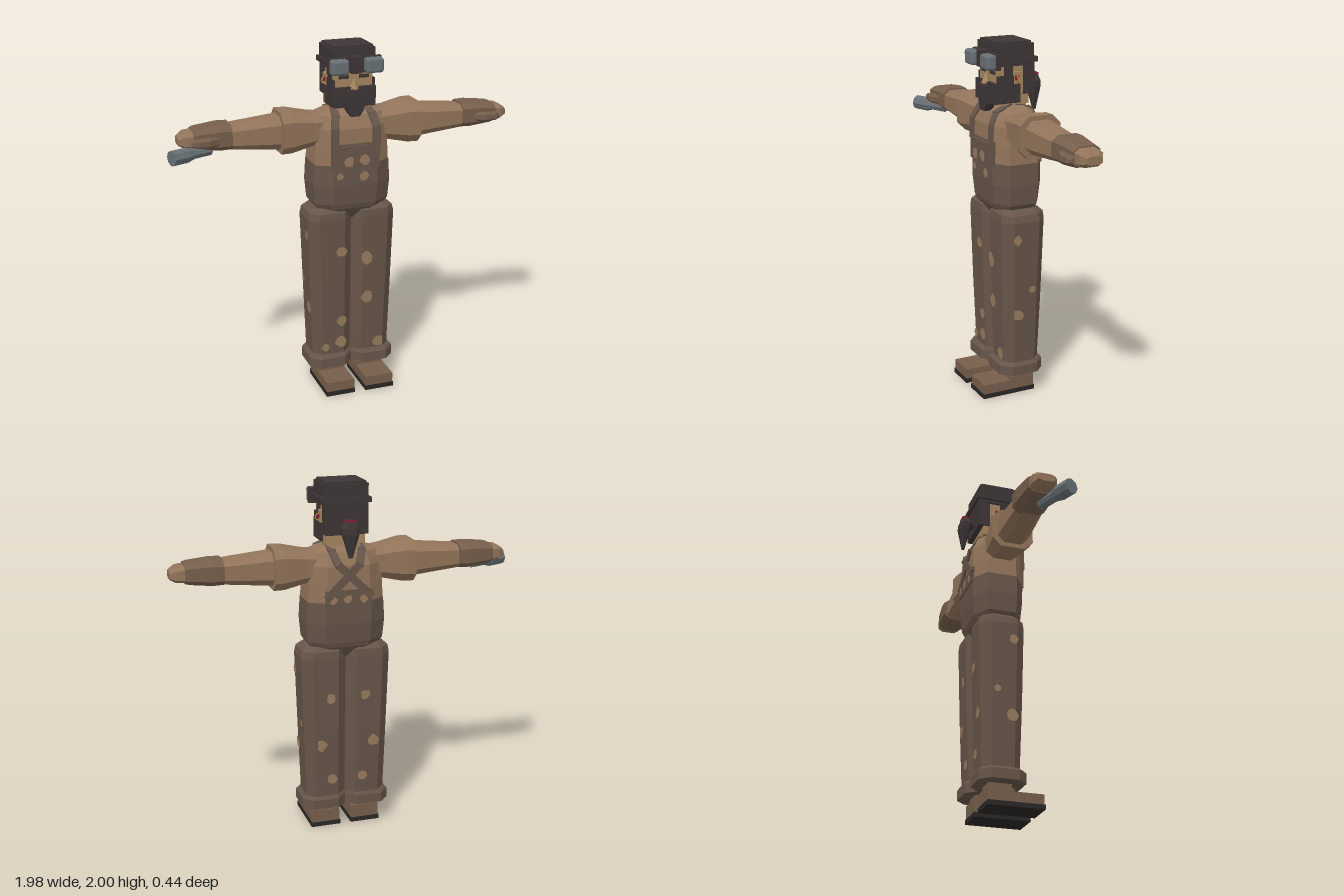
import * as THREE from 'three';
import { RoundedBoxGeometry } from 'three/addons/geometries/RoundedBoxGeometry.js';

const mat = (name, color) => Object.assign(new THREE.MeshStandardMaterial({ color }), { name });

export function createModel() {
  const shirt = mat('tan shirt', 0x92745a), denim = mat('brown overalls', 0x675549), glove = mat('glove brown', 0x765e4b);
  const skin = mat('skin', 0xa5855f), dark = mat('dark hair and cap', 0x3d3536), sole = mat('black sole', 0x2a2626);
  const steel = mat('grey steel', 0x687074), red = mat('red', 0x8a1f2c), patchMat = mat('tan patch', 0x967a5c), gold = mat('gold', 0xb08a3c);

  const root = new THREE.Group();
  root.name = 'workman';
  const figure = new THREE.Group();
  figure.name = 'figure';
  figure.position.x = 0.032;
  root.add(figure);

  const add = (name, geo, material, x = 0, y = 0, z = 0) => {
    const m = new THREE.Mesh(geo, material);
    m.name = name;
    m.position.set(x, y, z);
    figure.add(m);
    return m;
  };
  // box from its limits: x half width around cx, y range, z range
  const box = (name, m, cx, hx, y0, y1, z0, z1) =>
    add(name, new THREE.BoxGeometry(hx * 2, y1 - y0, z1 - z0), m, cx, (y0 + y1) / 2, (z0 + z1) / 2);

  // faceted eight-sided skin through rings [position, centreU, centreV, halfU, halfV]
  // axis 'y': u = x, v = z;  axis 'x': u = z, v = y
  const K = 0.58;
  const OCT = [[1, -K], [1, K], [K, 1], [-K, 1], [-1, K], [-1, -K], [-K, -1], [K, -1]];
  function loft(rings, axis = 'y', side = 1) {
    const rr = axis === 'x' && side < 0 ? rings.map(([p, ...r]) => [-p, ...r]).reverse() : rings;
    const pos = [], idx = [], n = rr.length;
    const put = (p, u, v) => (axis === 'y' ? pos.push(u, p, v) : pos.push(p, v, u));
    rr.forEach(([p, cu, cv, hu, hv]) => OCT.forEach(([a, b]) => put(p, cu + a * hu, cv + b * hv)));
    for (let i = 0; i < n - 1; i++) for (let j = 0; j < 8; j++) {
      const a = i * 8 + j, b = i * 8 + (j + 1) % 8;
      idx.push(a, a + 8, b, b, a + 8, b + 8);
    }
    const t = (n - 1) * 8;
    for (let j = 1; j < 7; j++) idx.push(0, j, j + 1, t, t + j + 1, t + j);
    const g = new THREE.BufferGeometry();
    g.setAttribute('position', new THREE.Float32BufferAttribute(pos, 3));
    g.setIndex(idx);
    const flat = g.toNonIndexed();
    flat.computeVertexNormals();
    return flat;
  }

  // flat strap between two points, facing along n
  function bar(name, m, a, b, n, w, t = 0.012) {
    const A = new THREE.Vector3(...a), B = new THREE.Vector3(...b);
    const d = B.clone().sub(A), len = d.length();
    d.normalize();
    const x = d.clone().cross(new THREE.Vector3(...n)).normalize(), z = x.clone().cross(d);
    const mesh = add(name, new THREE.BoxGeometry(w, len + 0.01, t), m);
    mesh.quaternion.setFromRotationMatrix(new THREE.Matrix4().makeBasis(x, d, z));
    mesh.position.copy(A.add(B).multiplyScalar(0.5));
  }

  // ragged cloth patch turned about y
  let seed = 7;
  const rnd = () => (seed = (seed * 16807) % 2147483647) / 2147483647;
  function patch(x, y, z, turn, r = 0.032) {
    const pts = [];
    for (let i = 0; i < 8; i++) {
      const a = i / 8 * Math.PI * 2, q = r * (0.75 + 0.4 * rnd());
      pts.push(new THREE.Vector2(Math.cos(a) * q, Math.sin(a) * q * 1.1));
    }
    add('patch', new THREE.ShapeGeometry(new THREE.Shape(pts)), patchMat, x, y, z).rotation.y = turn;
  }

  // torso
  add('overallsBody', loft([[1.02, 0, -0.02, 0.02, 0.08], [1.09, 0, -0.02, 0.195, 0.125], [1.12, 0, -0.02, 0.215, 0.135],
    [1.23, 0, -0.02, 0.224, 0.146], [1.35, 0, -0.02, 0.216, 0.147]]), denim);
  add('shirtBody', loft([[1.35, 0, -0.02, 0.214, 0.145], [1.45, 0, -0.02, 0.208, 0.145], [1.55, 0, -0.02, 0.198, 0.142],
    [1.62, 0, -0.02, 0.18, 0.112], [1.66, 0, -0.02, 0.09, 0.07]]), shirt);
  box('frontBib', denim, 0, 0.138, 1.33, 1.47, 0.1, 0.134);
  box('backBib', denim, 0, 0.132, 1.33, 1.42, -0.174, -0.14);
  box('bibPocket', denim, 0, 0.085, 1.335, 1.46, 0.13, 0.146);
  for (const [x, y, z, r] of [[-0.045, 1.375, 0.149, 0.03], [0.045, 1.378, 0.149, 0.03], [-0.09, 1.29, 0.131, 0.02], [0.05, 1.28, 0.131, 0.026]])
    patch(x, y, z, 0, r);
  for (const [x, y] of [[-0.08, 1.37], [0.01, 1.37], [0.09, 1.37]]) patch(x, y, -0.178, Math.PI, 0.024);

  for (const s of [-1, 1]) {
    // braces over the shoulder, crossing at the back
    const path = [[0.12, 1.45, 0.133], [0.12, 1.56, 0.13], [0.105, 1.625, 0.095], [0.085, 1.668, -0.01], [0.085, 1.63, -0.125], [0.06, 1.56, -0.168], [-0.125, 1.38, -0.174]];
    const normals = [[0, 0, 1], [0, 0.5, 1], [0, 1, 0.4], [0, 1, -0.3], [0, 0.6, -1], [0, 0, -1]];
    normals.forEach((n, i) => bar('brace', denim, [s * path[i][0], path[i][1], path[i][2]],
      [s * path[i + 1][0], path[i + 1][1], path[i + 1][2]], n, 0.044));

    // arms
    const arm = (name, m, rings) => add(name, loft(rings.map(([p, hy, hz, cy = 1.54, cz = -0.02]) => [p, cz, cy, hz, hy]), 'x', s), m);
    arm('sleeve', shirt, [[0.14, 0.08, 0.09], [0.22, 0.09, 0.093], [0.34, 0.115, 0.112], [0.4, 0.115, 0.118]]);
    arm('forearm', shirt, [[0.38, 0.092, 0.088], [0.55, 0.076, 0.082], [0.7, 0.062, 0.075]]);
    arm('gloveCuff', glove, [[0.67, 0.068, 0.09, 1.545, -0.025], [0.73, 0.07, 0.09, 1.545, -0.025], [0.85, 0.058, 0.08, 1.545], [0.875, 0.052, 0.076, 1.545]]);
    arm('hand', shirt, [[0.85, 0.048, 0.072, 1.545], [0.92, 0.042, 0.066, 1.543], [0.953, 0.022, 0.045, 1.54]]);
    arm('thumb', glove, [[0.74, 0.025, 0.025, 1.535, 0.04], [0.8, 0.026, 0.028, 1.535, 0.065], [0.87, 0.022, 0.022, 1.535, 0.07], [0.89, 0.012, 0.012, 1.535, 0.065]]);

    // legs, turned-up cuffs and boots
    add('trouserLeg', loft([[0.16, s * 0.117, -0.022, 0.112, 0.105], [0.6, s * 0.123, -0.022, 0.12, 0.12],
      [1.03, s * 0.128, -0.022, 0.128, 0.13], [1.07, s * 0.125, -0.022, 0.122, 0.126], [1.095, s * 0.115, -0.022, 0.1, 0.1]]), denim);
    add('trouserCuff', loft([[0.13, s * 0.127, -0.016, 0.127, 0.132], [0.185, s * 0.127, -0.016, 0.127, 0.132], [0.2, s * 0.123, -0.018, 0.12, 0.122]]), denim);
    box('bootAnkle', glove, s * 0.118, 0.055, 0.09, 0.14, -0.085, 0.045);
    box('bootHeel', glove, s * 0.118, 0.08, 0.025, 0.1, -0.097, 0.05);
    box('bootToe', glove, s * 0.118, 0.083, 0.025, 0.082, -0.09, 0.215);
    box('bootSole', sole, s * 0.118, 0.086, 0, 0.026, -0.1, 0.22);

    // patches on the outer and rear leg faces
    for (const [z, y, r] of [[0.033, 0.935, 0.028], [0.025, 0.49, 0.033], [-0.06, 0.635, 0.02]])
      patch(s * (0.236 + 0.024 * (y - 0.16) / 0.87), y, z, s * Math.PI / 2, r);
    for (const [x, y, r] of [[0.1, 0.8, 0.03], [0.15, 0.52, 0.034], [0.09, 0.3, 0.028]])
      patch(s * x, y, -0.13 - 0.03 * (y - 0.16) / 0.87, Math.PI, r);
  }
  // patches on the front leg faces
  for (const [x, y, r] of [[-0.075, 0.84, 0.031], [0.073, 0.785, 0.037], [0.078, 0.535, 0.036], [-0.073, 0.405, 0.031],
    [-0.075, 0.27, 0.036], [0.155, 0.24, 0.036], [-0.168, 0.245, 0.022]])
    patch(x, y, 0.09 + 0.027 * (y - 0.16) / 0.87, 0, r);

  // head
  box('neck', skin, 0, 0.083, 1.6, 1.68, -0.1, 0.03);
  box('head', skin, 0, 0.11, 1.66, 1.9, -0.1, 0.087);
  box('beard', dark, 0, 0.121, 1.67, 1.78, -0.045, 0.108);
  box('backHair', dark, 0, 0.12, 1.715, 1.92, -0.13, -0.065);
  const chin = new THREE.Shape([[-0.055, 1.76], [-0.05, 1.66], [-0.025, 1.62], [0.025, 1.62], [0.05, 1.66], [0.055, 1.76]].map(p => new THREE.Vector2(...p)));
  add('goatee', new THREE.ExtrudeGeometry(chin, { depth: 0.05, bevelEnabled: false }), dark, 0, 0, 0.075);
  const nose = add('nose', new THREE.ConeGeometry(0.032, 0.065, 4).toNonIndexed(), skin, 0, 1.802, 0.1);
  nose.geometry.computeVertexNormals();
  for (const s of [-1, 1]) {
    box('sideBeard', dark, s * 0.114, 0.008, 1.77, 1.82, -0.04, 0.09);
    box('sideburn', dark, s * 0.112, 0.007, 1.81, 1.89, 0, 0.048);
    box('eyebrow', dark, s * 0.058, 0.028, 1.825, 1.843, 0.08, 0.095);
    box('ear', skin, s * 0.115, 0.012, 1.775, 1.84, -0.055, -0.005);
    box('earStud', red, s * 0.126, 0.006, 1.795, 1.82, -0.032, -0.008);
    add('earring', new THREE.TorusGeometry(0.018, 0.004, 5, 12), gold, s * 0.128, 1.8, -0.02);
  }

  // cap and goggles
  box('cap', dark, 0, 0.122, 1.87, 1.988, -0.125, 0.093);
  box('capTop', dark, 0, 0.112, 1.98, 2, -0.113, 0.083);
  box('goggleStrap', dark, 0, 0.136, 1.888, 1.915, -0.143, 0.102);
  box('goggleBridge', dark, 0, 0.03, 1.86, 1.95, 0.085, 0.145);
  for (const s of [-1, 1]) {
    box('goggleFrame', dark, s * 0.098, 0.053, 1.857, 1.943, 0.085, 0.112);
    add('goggleLens', new RoundedBoxGeometry(0.1, 0.082, 0.06, 2, 0.016), steel, s * 0.098, 1.9, 0.135);
  }

  // ponytail
  add('ponytail', loft([[1.6, 0, -0.192, 0.01, 0.008], [1.73, 0, -0.187, 0.045, 0.032], [1.765, 0, -0.18, 0.05, 0.036], [1.81, 0, -0.187, 0.022, 0.012]]), dark);
  box('hairRoot', dark, 0, 0.025, 1.755, 1.785, -0.17, -0.12);
  box('hairTie', red, 0, 0.03, 1.795, 1.807, -0.204, -0.166);

  // hand tool held in the right glove
  const tool = new THREE.Group();
  tool.name = 'handTool';
  tool.position.set(-0.9, 1.478, 0.05);
  tool.rotation.y = 0.38;
  for (const [name, r0, r1, x, len] of [['toolHead', 0.043, 0.043, -0.07, 0.09], ['toolTaper', 0.03, 0.043, -0.005, 0.05], ['toolGrip', 0.03, 0.03, 0.07, 0.11]]) {
    const g = new THREE.CylinderGeometry(r1, r0, len, 8).rotateZ(Math.PI / 2).toNonIndexed();
    g.computeVertexNormals();
    const m = new THREE.Mesh(g, steel);
    m.name = name;
    m.position.x = x;
    tool.add(m);
  }
  figure.add(tool);
  return root;
}
